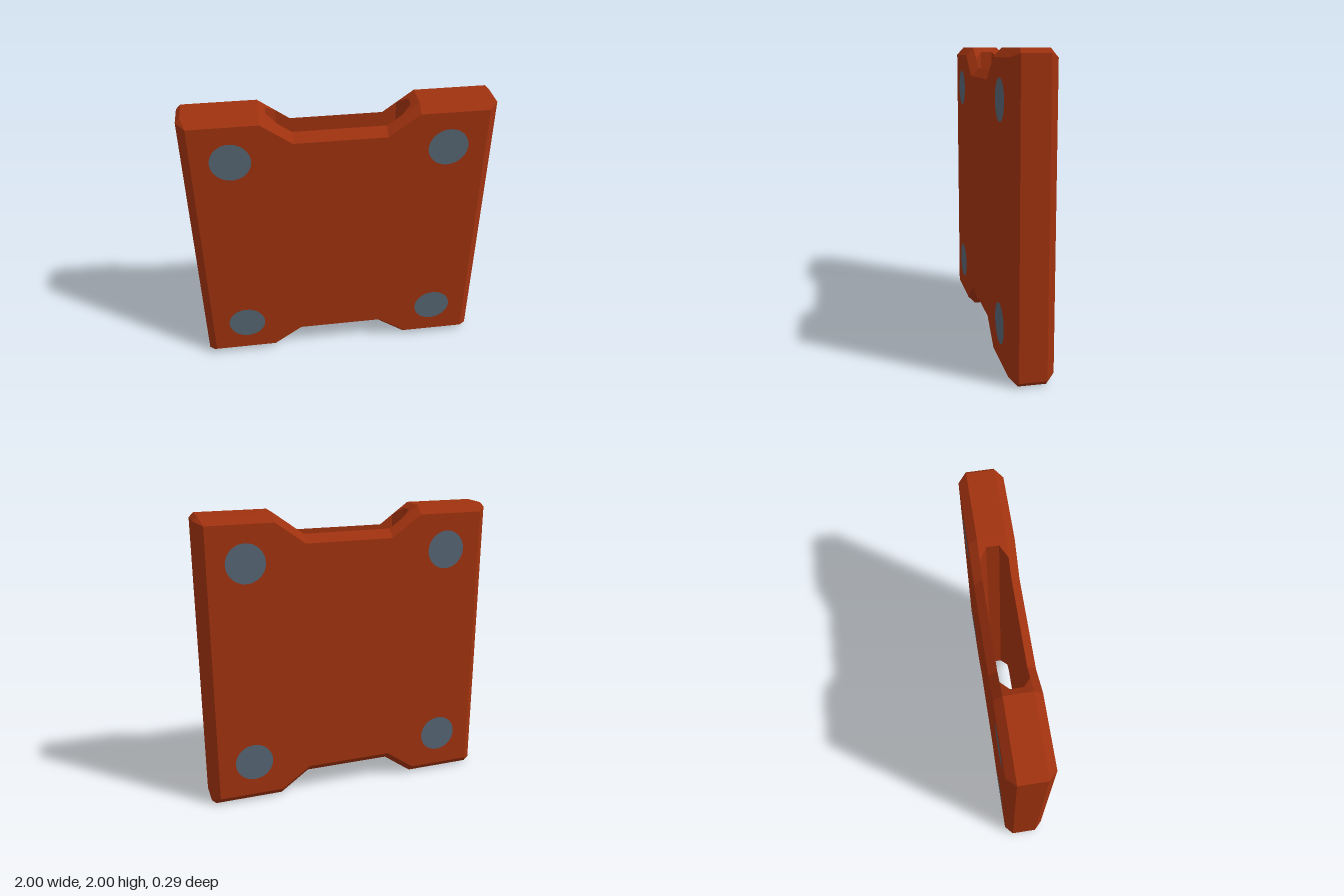
import * as THREE from 'three';

const FRONT = 0.142; // z of the large flat faces
const RIM = 0.088;   // z where the bevel meets the rim, also the slot's half depth

// Height of the notch slope at x
const slopeY = (x) => 0.855 + (x - 0.3) * 0.725;

// Mirrors convex faces of one octant into all eight and returns a flat-shaded geometry
function mirrorOctant(faces) {
  const out = [];
  for (const sx of [1, -1]) for (const sy of [1, -1]) for (const sz of [1, -1]) {
    const flip = sx * sy * sz < 0;
    for (const f of faces) {
      for (let i = 1; i < f.length - 1; i++) {
        const tri = flip ? [f[0], f[i + 1], f[i]] : [f[0], f[i], f[i + 1]];
        for (const [x, y, z] of tri) out.push(x * sx, y * sy, z * sz);
      }
    }
  }
  const g = new THREE.BufferGeometry();
  g.setAttribute('position', new THREE.Float32BufferAttribute(out, 3));
  g.computeVertexNormals();
  return g;
}

export function createModel() {
  const model = new THREE.Group();
  const rust = new THREE.MeshStandardMaterial({ color: 0xa0320f });
  rust.name = 'rust red';
  const slate = new THREE.MeshStandardMaterial({ color: 0x566573 });
  slate.name = 'slate grey';

  const add = (name, geometry, material, parent = model) => {
    const m = new THREE.Mesh(geometry, material);
    m.name = name;
    parent.add(m);
    return m;
  };

  const block = new THREE.Group();
  block.name = 'block';
  block.position.y = 1;
  model.add(block);

  // Outer outline at the rim and matching inner outline on the flat face
  const outer = [[1, 0], [1, 0.97], [0.97, 1], [0.5, 1], [0.3, 0.855], [0, 0.855]];
  const inner = [[0.945, 0], [0.945, 0.945], [0.945, 0.945], [0.5, 0.945], [0.3, 0.8], [0, 0.8]];

  // Flat faces and bevels
  const shell = [[[0, 0, FRONT], ...inner.filter((_, i) => i !== 2).map(([x, y]) => [x, y, FRONT])]];
  for (let i = 0; i < 5; i++) {
    const quad = [[...inner[i], FRONT], [...outer[i], RIM], [...outer[i + 1], RIM]];
    if (i !== 1) quad.push([...inner[i + 1], FRONT]);
    shell.push(quad);
  }
  // Rim, ending where the slot cuts into the notch slope
  for (let i = 0; i < 3; i++) {
    const a = outer[i], b = outer[i + 1];
    shell.push([[...a, RIM], [...a, 0], [...b, 0], [...b, RIM]]);
  }
  const endX = 0.455, endZ = 0.04, cutX = 0.39;
  const endY = slopeY(endX), cutY = slopeY(cutX);
  shell.push([[0.5, 1, RIM], [0.5, 1, 0], [endX, endY, 0], [endX, endY, endZ], [cutX, cutY, RIM]]);
  add('shell', mirrorOctant(shell), rust, block);

  // Slot running through from top to bottom, with chamfered ends
  add('slot', mirrorOctant([
    [[endX, 0, 0], [endX, 0, endZ], [endX, endY, endZ], [endX, endY, 0]],
    [[endX, 0, endZ], [cutX, 0, RIM], [cutX, cutY, RIM], [endX, endY, endZ]],
    [[0, 0, RIM], [0, 0.855, RIM], [0.3, 0.855, RIM], [cutX, cutY, RIM], [cutX, 0, RIM]],
  ]), rust, block);

  // Round corner inlays on both sides
  const disc = new THREE.CircleGeometry(0.131, 32);
  for (const side of [1, -1]) for (const x of [0.697, -0.697]) for (const y of [0.697, -0.697]) {
    const m = add('cornerDisc', disc, slate, block);
    m.position.set(x, y, side * (FRONT + 0.002));
    if (side < 0) m.rotation.y = Math.PI;
  }
  return model;
}
